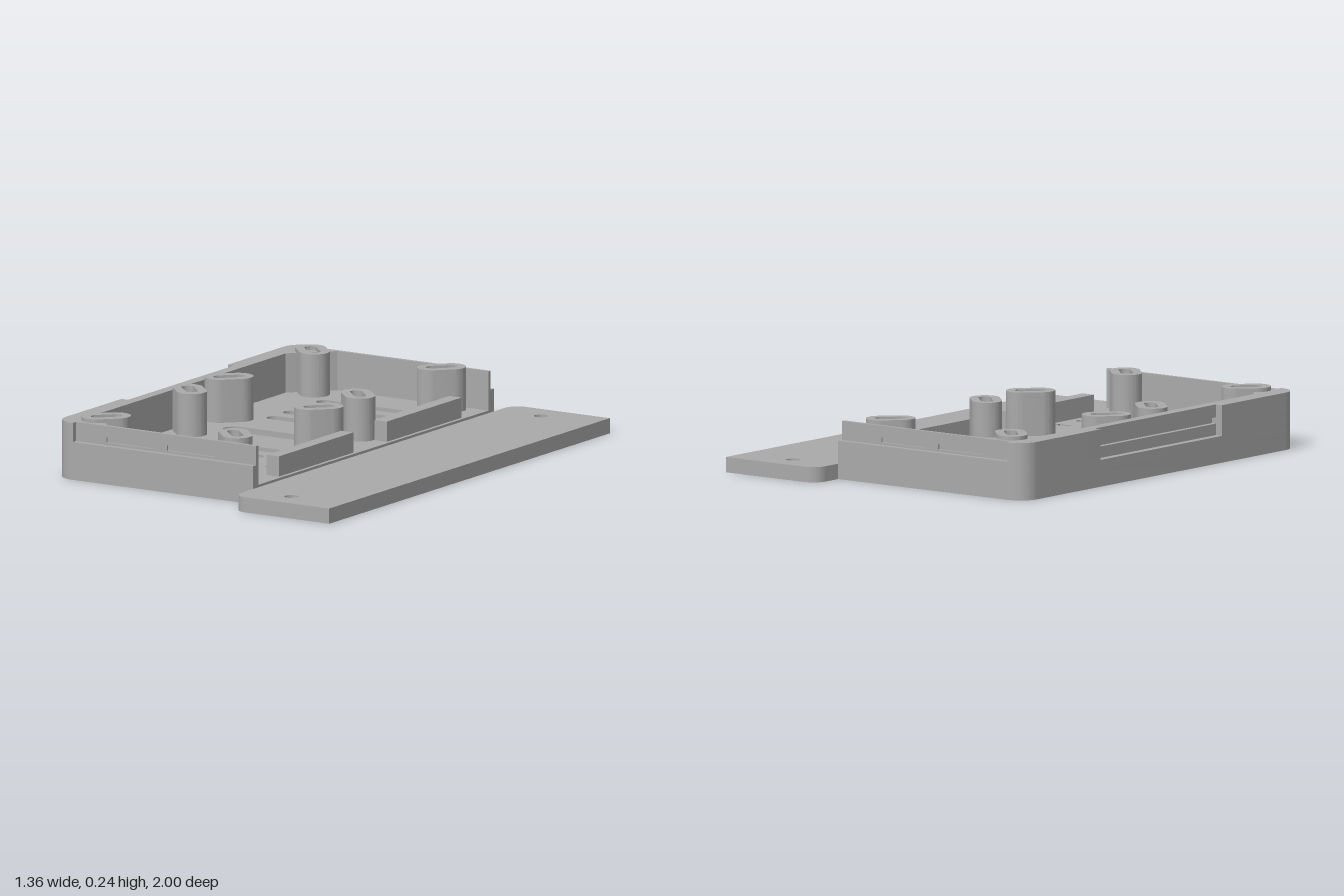
import * as THREE from 'three';
import { toCreasedNormals } from 'three/addons/utils/BufferGeometryUtils.js';

const grey = new THREE.MeshStandardMaterial({ color: 0xaaaaaa });
grey.name = 'grey plastic';

// Rounded slot outline around (x, z), turned by angle
function slot(Type, x, z, half, r, angle = 0) {
  const p = new Type();
  const dx = Math.cos(angle) * half, dz = Math.sin(angle) * half;
  p.absarc(x + dx, z + dz, r, angle - Math.PI / 2, angle + Math.PI / 2, false);
  p.absarc(x - dx, z - dz, r, angle + Math.PI / 2, angle + Math.PI * 1.5, false);
  p.closePath();
  return p;
}

function rect(Type, x0, z0, x1, z1) {
  const p = new Type();
  p.moveTo(x0, z0).lineTo(x1, z0).lineTo(x1, z1).lineTo(x0, z1).closePath();
  return p;
}

function mesh(name, geometry) {
  const m = new THREE.Mesh(geometry, grey);
  m.name = name;
  return m;
}

// Extrude an x/z plan from y0 up to y1
function slab(name, shape, y0, y1) {
  const g = new THREE.ExtrudeGeometry(shape, { depth: y1 - y0, bevelEnabled: false, curveSegments: 14 });
  g.rotateX(Math.PI / 2).translate(0, y1, 0);
  return mesh(name, toCreasedNormals(g, 0.5));
}

const LEFT = -0.68, EDGE = 0.235, HALF = 0.858, R = 0.08;
const FLOOR = 0.07, LEDGE = 0.15, RIM = 0.225;

// Plan of the three-sided wall: sideZ is its outer face along the sides,
// notchX the outer face in the middle of the end wall
function wallPlan(sideZ, notchX) {
  const s = new THREE.Shape();
  s.moveTo(EDGE, -sideZ).lineTo(EDGE, -0.82);
  s.lineTo(-0.46, -0.82).lineTo(-0.605, -0.675).lineTo(-0.605, 0.675).lineTo(-0.46, 0.82);
  s.lineTo(EDGE, 0.82).lineTo(EDGE, sideZ);
  if (sideZ < HALF) s.lineTo(-0.595, sideZ);
  s.lineTo(-0.595, HALF);
  s.absarc(LEFT + R, HALF - R, R, Math.PI / 2, Math.PI, false);
  if (notchX > LEFT) s.lineTo(LEFT, 0.38).lineTo(notchX, 0.38).lineTo(notchX, -0.38).lineTo(LEFT, -0.38);
  s.absarc(LEFT + R, R - HALF, R, Math.PI, Math.PI * 1.5, false);
  s.lineTo(-0.595, -HALF);
  if (sideZ < HALF) s.lineTo(-0.595, -sideZ);
  s.closePath();
  return s;
}

export function createModel() {
  const model = new THREE.Group();
  model.name = 'mountingTray';
  const tray = new THREE.Group();
  tray.name = 'tray';
  tray.position.z = -0.004;
  model.add(tray);

  // Mounting flange with two screw holes
  const F = new THREE.Shape();
  F.moveTo(0.68, -1).lineTo(0.68, 1).lineTo(EDGE + 0.06, 1);
  F.absarc(EDGE + 0.06, 0.94, 0.06, Math.PI / 2, Math.PI, false);
  F.absarc(EDGE + 0.06, -0.94, 0.06, Math.PI, Math.PI * 1.5, false);
  F.closePath();
  for (const z of [-0.89, 0.89]) {
    F.holes.push(new THREE.Path().absarc(0.435, z, 0.027, 0, Math.PI * 2, false));
  }
  model.add(slab('flange', F, 0, 0.06));

  // Tray floor
  const floor = new THREE.Shape();
  floor.moveTo(EDGE, -HALF).lineTo(EDGE, HALF);
  floor.absarc(LEFT + R, HALF - R, R, Math.PI / 2, Math.PI, false);
  floor.absarc(LEFT + R, R - HALF, R, Math.PI, Math.PI * 1.5, false);
  floor.closePath();
  floor.holes.push(slot(THREE.Path, -0.225, 0, 0.179, 0.045));

  for (const side of [-1, 1]) {
    // Vent slots and cable-tie openings
    for (const z of [0.26, 0.378, 0.496, 0.614]) {
      floor.holes.push(slot(THREE.Path, -0.225, side * z, 0.164, 0.03));
    }
    for (const z of [0.383, 0.506]) {
      floor.holes.push(rect(THREE.Path, 0.07, side * z - 0.016, 0.133, side * z + 0.016));
    }

    // Slotted posts, slanted outward from the middle of each set of four
    for (const x of [-0.52, 0.074]) {
      for (const z of [0.14, 0.735]) {
        const angle = (x < 0 ? 1 : -1) * (z > 0.4 ? -side : side) * Math.PI / 4;
        const post = slot(THREE.Shape, x, side * z, 0.037, 0.059, angle);
        post.holes.push(slot(THREE.Path, x, side * z, 0.037, 0.024, angle));
        floor.holes.push(slot(THREE.Path, x, side * z, 0.037, 0.024, angle));
        tray.add(slab('post', post, FLOOR, 0.24));
      }
    }

    // Retaining bar beside the flange
    const bar = mesh('retainingBar', new THREE.BoxGeometry(0.056, LEDGE - FLOOR, 0.533));
    bar.position.set(0.192, (LEDGE + FLOOR) / 2, side * 0.385);
    tray.add(bar);

    // Outer skin of the side wall, with two shallow latch grooves
    const skin = rect(THREE.Shape, -0.595, LEDGE, EDGE, RIM);
    for (const x of [-0.455, -0.175]) skin.holes.push(rect(THREE.Path, x, 0.16, x + 0.215, 0.18));
    const g = new THREE.ExtrudeGeometry(skin, { depth: 0.008, bevelEnabled: false });
    const skinMesh = mesh('sideWallSkin', g);
    skinMesh.position.z = side > 0 ? 0.828 : -0.836;
    tray.add(skinMesh);
  }
  tray.add(slab('floor', floor, 0, FLOOR));

  // Wall in layers: base, notched base, grooved and plain rim
  const layers = [
    [FLOOR, 0.105, HALF, LEFT],
    [0.105, LEDGE, HALF, -0.65],
    [LEDGE, 0.175, 0.828, -0.63],
    [0.175, RIM, 0.828, -0.65],
  ];
  for (const [y0, y1, sideZ, notchX] of layers) tray.add(slab('wall', wallPlan(sideZ, notchX), y0, y1));

  return model;
}
